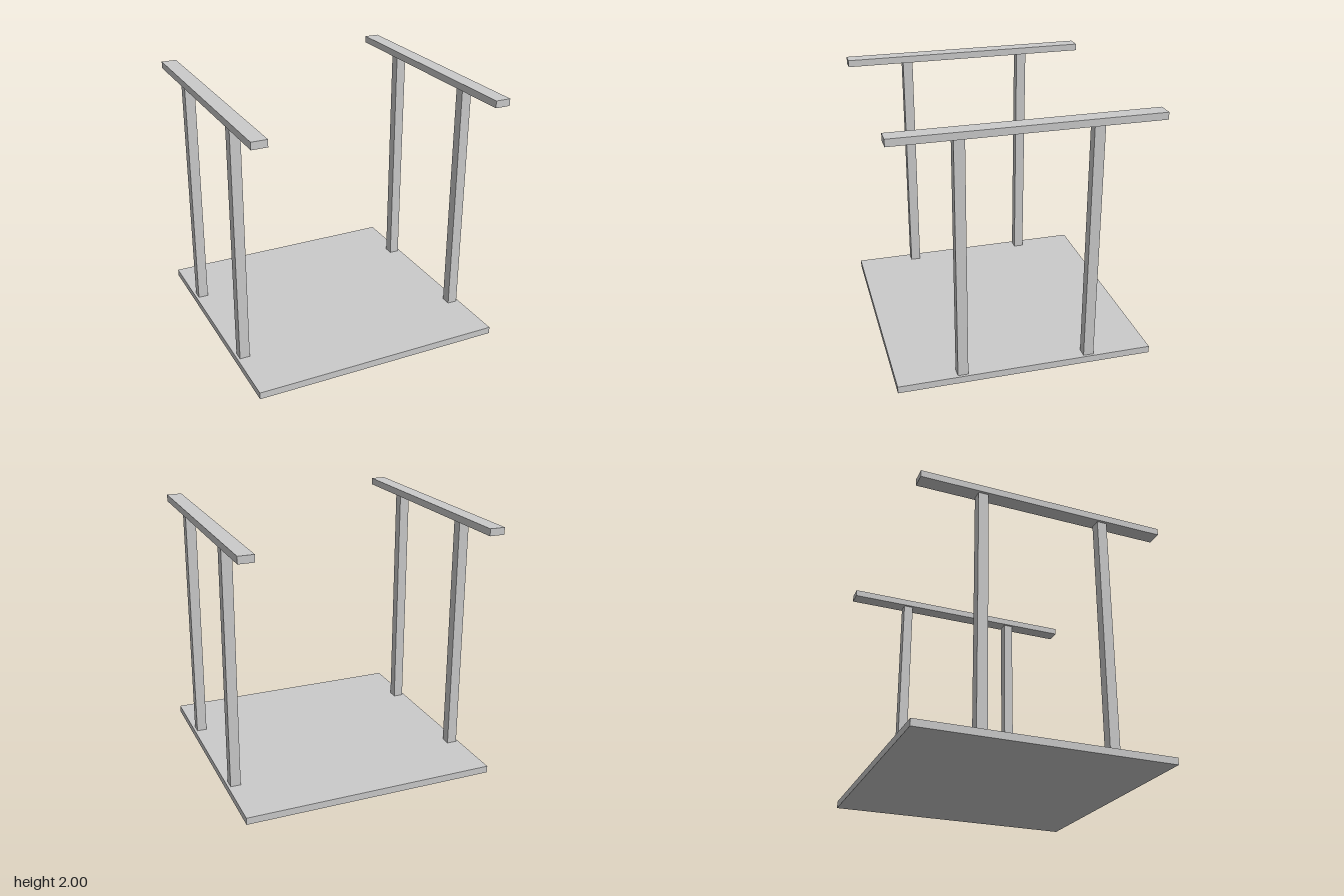
import * as THREE from 'three';

const SLAB = 0.055; // thickness of base and rails
const HEIGHT = 2;

export function createModel() {
  const model = new THREE.Group();
  const material = new THREE.MeshStandardMaterial({ color: 0xcccccc, flatShading: true });

  const addBox = (name, [w, h, d], [x, y, z]) => {
    const mesh = new THREE.Mesh(new THREE.BoxGeometry(w, h, d), material);
    mesh.name = name;
    mesh.position.set(x, y, z);
    model.add(mesh);
  };

  // Square base plate
  addBox('base', [2, SLAB, 2], [0, SLAB / 2, 0]);

  // A rail on two posts along each side
  for (const [side, sx] of [['left', 1], ['right', -1]]) {
    addBox(`${side}Rail`, [0.12, SLAB, 2], [sx * 0.94, HEIGHT - SLAB / 2, 0]);
    for (const [end, sz] of [['Front', 1], ['Back', -1]]) {
      addBox(`${side}${end}Post`, [0.08, HEIGHT - 2 * SLAB, 0.08], [sx * 0.94, HEIGHT / 2, sz * 0.5]);
    }
  }

  return model;
}
